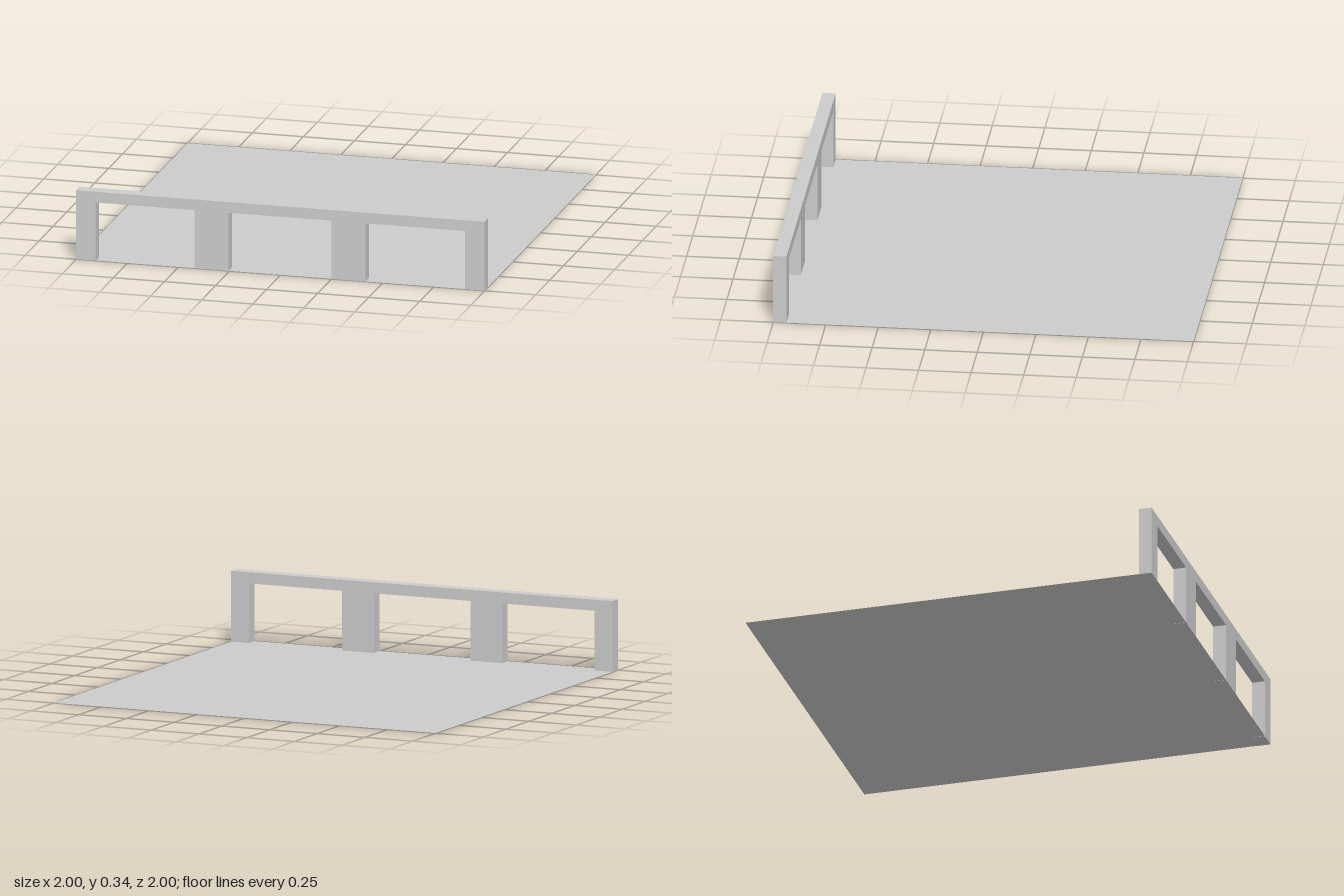
import * as THREE from 'three';

export function createModel() {
  const group = new THREE.Group();
  const height = 0.34, lintel = 0.287, depth = 0.063;

  // Front wall: one outline stepping around three openings that reach the ground
  const openings = [[-0.905, -0.42], [-0.255, 0.25], [0.417, 0.905]];
  const outline = new THREE.Shape().moveTo(-1, height).lineTo(-1, 0);
  for (const [x0, x1] of openings) {
    outline.lineTo(x0, 0).lineTo(x0, lintel).lineTo(x1, lintel).lineTo(x1, 0);
  }
  outline.lineTo(1, 0).lineTo(1, height).closePath();
  const wall = new THREE.Mesh(
    new THREE.ExtrudeGeometry(outline, { depth, bevelEnabled: false }),
    new THREE.MeshStandardMaterial({ color: 0xcccccc, flatShading: true })
  );
  wall.name = 'frontWall';
  wall.position.z = 1 - depth;
  group.add(wall);

  // Floor: a thin sheet, just above the pillar feet
  const floor = new THREE.Mesh(
    new THREE.PlaneGeometry(2, 2).rotateX(-Math.PI / 2),
    new THREE.MeshStandardMaterial({ color: 0xcccccc, side: THREE.DoubleSide })
  );
  floor.name = 'floor';
  floor.position.y = 0.001;
  group.add(floor);

  return group;
}
